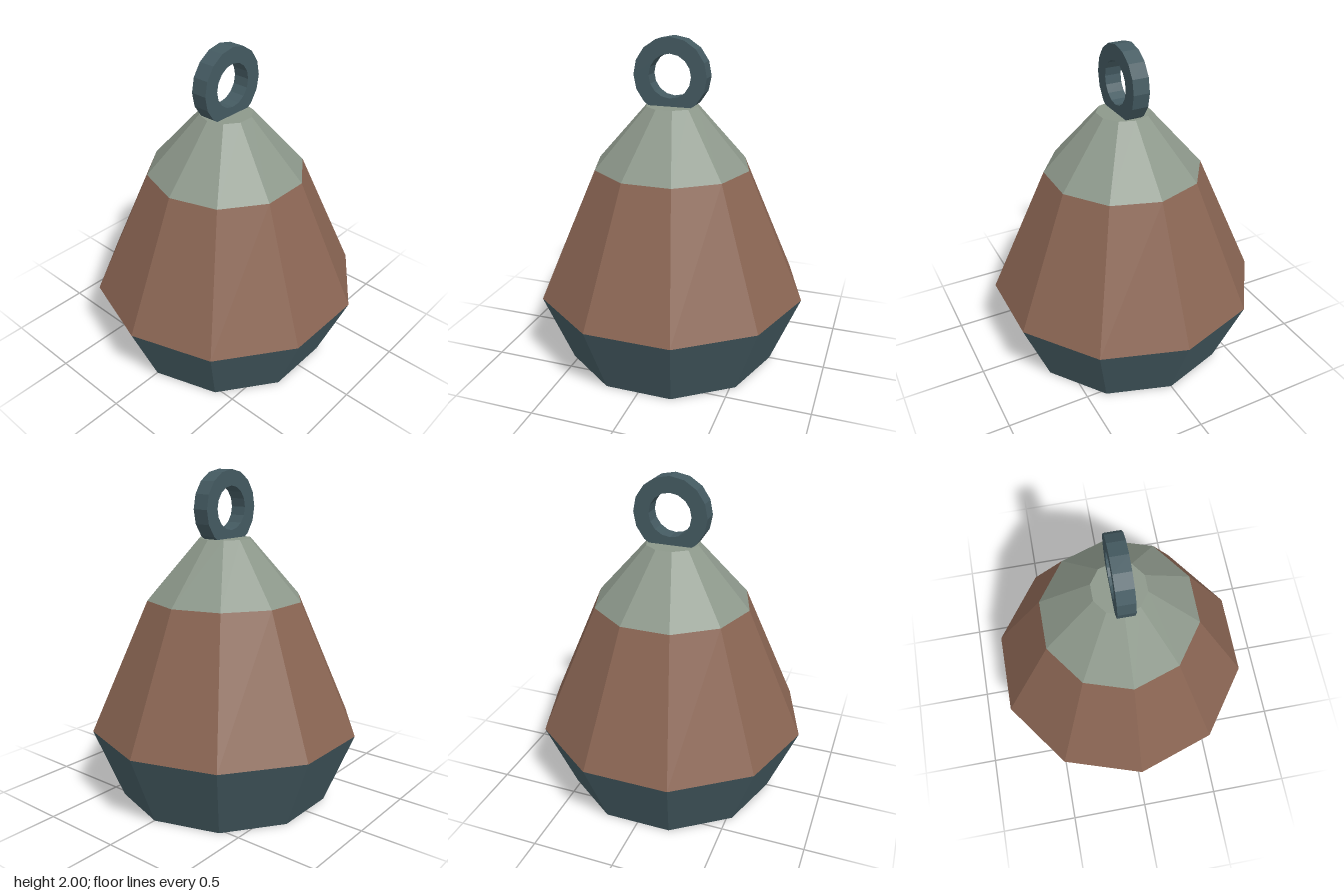
import * as THREE from 'three';

const SIDES = 10;

function material(color) {
  return new THREE.MeshStandardMaterial({ color, flatShading: true });
}

// Ten-sided frustum between two heights, with corners on the x axis
function frustum(name, y0, r0, y1, r1, mat, open) {
  const geometry = new THREE.CylinderGeometry(r1, r0, y1 - y0, SIDES, 1, open, Math.PI / 2);
  geometry.translate(0, (y0 + y1) / 2, 0);
  const mesh = new THREE.Mesh(geometry, mat);
  mesh.name = name;
  return mesh;
}

// Regular polygon outline for the ring
function polygon(radius, sides) {
  return Array.from({ length: sides }, (_, i) => {
    const a = (i / sides) * Math.PI * 2;
    return new THREE.Vector2(Math.cos(a) * radius, Math.sin(a) * radius);
  });
}

export function createModel() {
  const group = new THREE.Group();
  group.name = 'weight';

  const dark = material(0x445a61);
  const brown = material(0x8a6553);
  const grey = material(0x8d988b);

  // Body: flared base, tapering middle, shallow cap
  group.add(frustum('base', 0, 0.656, 0.44, 0.834, dark, false));
  group.add(frustum('body', 0.44, 0.834, 1.235, 0.48, brown, true));
  group.add(frustum('cap', 1.235, 0.48, 1.597, 0.16, grey, false));

  // Flat hanging ring, its foot sunk into the cap
  const shape = new THREE.Shape(polygon(0.225, 16));
  shape.holes.push(new THREE.Path(polygon(0.13, 16)));
  const ringGeometry = new THREE.ExtrudeGeometry(shape, { depth: 0.1, bevelEnabled: false });
  ringGeometry.translate(0, 1.775, -0.05);
  const ring = new THREE.Mesh(ringGeometry, dark);
  ring.name = 'hangingRing';
  group.add(ring);

  return group;
}
